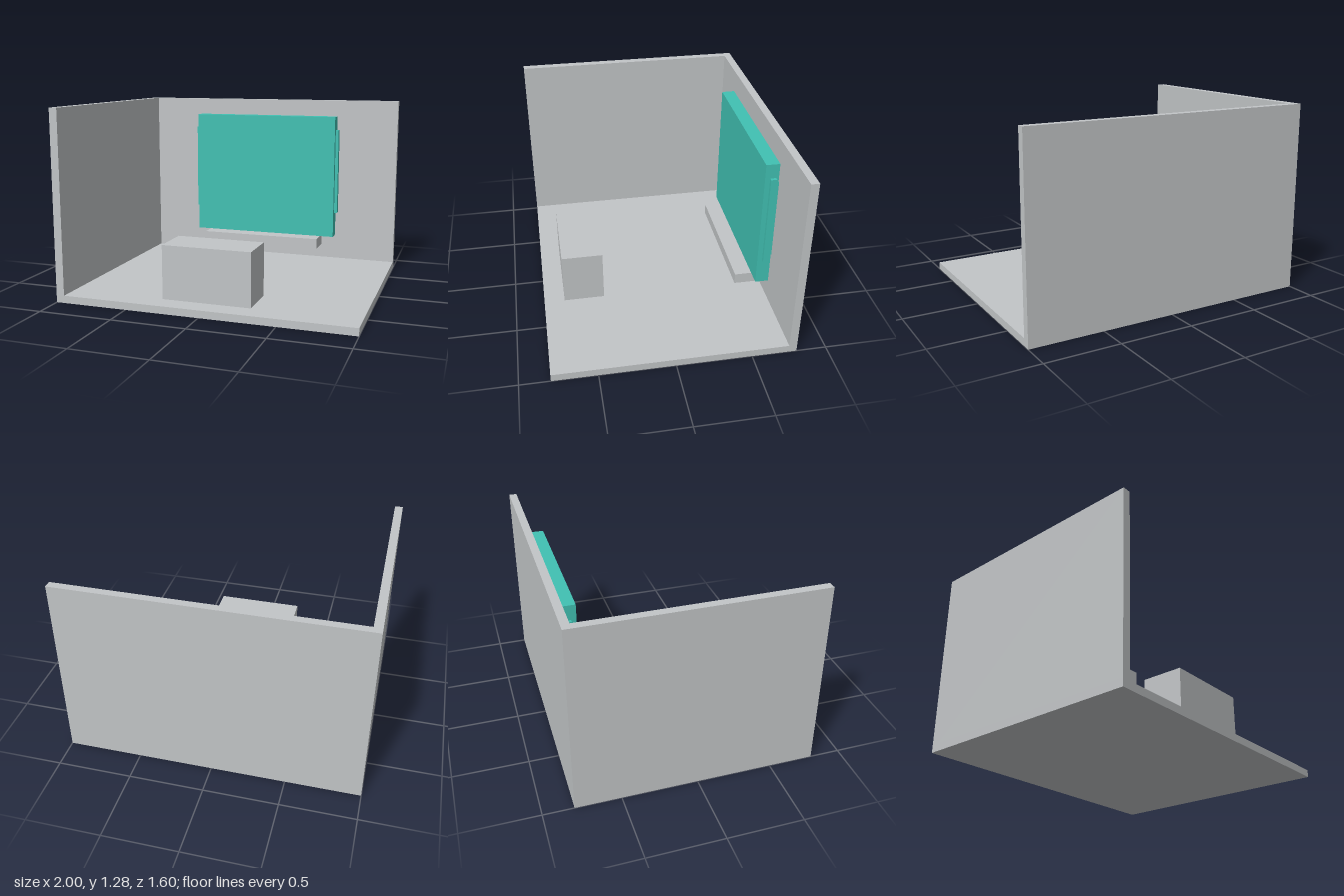
import * as THREE from 'three';

export function createModel() {
  const group = new THREE.Group();
  const grey = new THREE.MeshStandardMaterial({ color: 0xc2c5c7 });
  grey.name = 'light grey';
  const teal = new THREE.MeshStandardMaterial({ color: 0x41c1b3 });
  teal.name = 'teal';

  // Box given by its lower and upper corner
  function block(name, material, min, max) {
    const size = max.map((v, i) => v - min[i]);
    const mesh = new THREE.Mesh(new THREE.BoxGeometry(...size), material);
    mesh.position.set(...max.map((v, i) => (v + min[i]) / 2));
    mesh.name = name;
    group.add(mesh);
  }

  // Room shell: floor and two walls meeting at the back corner
  block('floor', grey, [-1, 0, -0.8], [1, 0.05, 0.8]);
  block('backWall', grey, [-1, 0.05, -0.8], [1, 1.28, -0.747]);
  block('sideWall', grey, [-1, 0.05, -0.747], [-0.945, 1.28, 0.8]);

  // Wall screen with a thin back plate and a strip on each side
  block('screen', teal, [-0.55, 0.24, -0.725], [0.55, 1.16, -0.635]);
  block('screenBackPlate', teal, [-0.545, 0.455, -0.731], [0.545, 1.025, -0.725]);
  for (const [name, side] of [['leftStrip', 1], ['rightStrip', -1]]) {
    const xs = [0.55 * side, 0.572 * side].sort((a, b) => a - b);
    block(name, teal, [xs[0], 0.423, -0.707], [xs[1], 1.06, -0.668]);
  }

  // Shelf below the screen and a counter near the front
  block('shelf', grey, [-0.45, 0.165, -0.692], [0.45, 0.24, -0.52]);
  block('counter', grey, [-0.3, 0.05, 0.382], [0.3, 0.41, 0.66]);

  return group;
}
